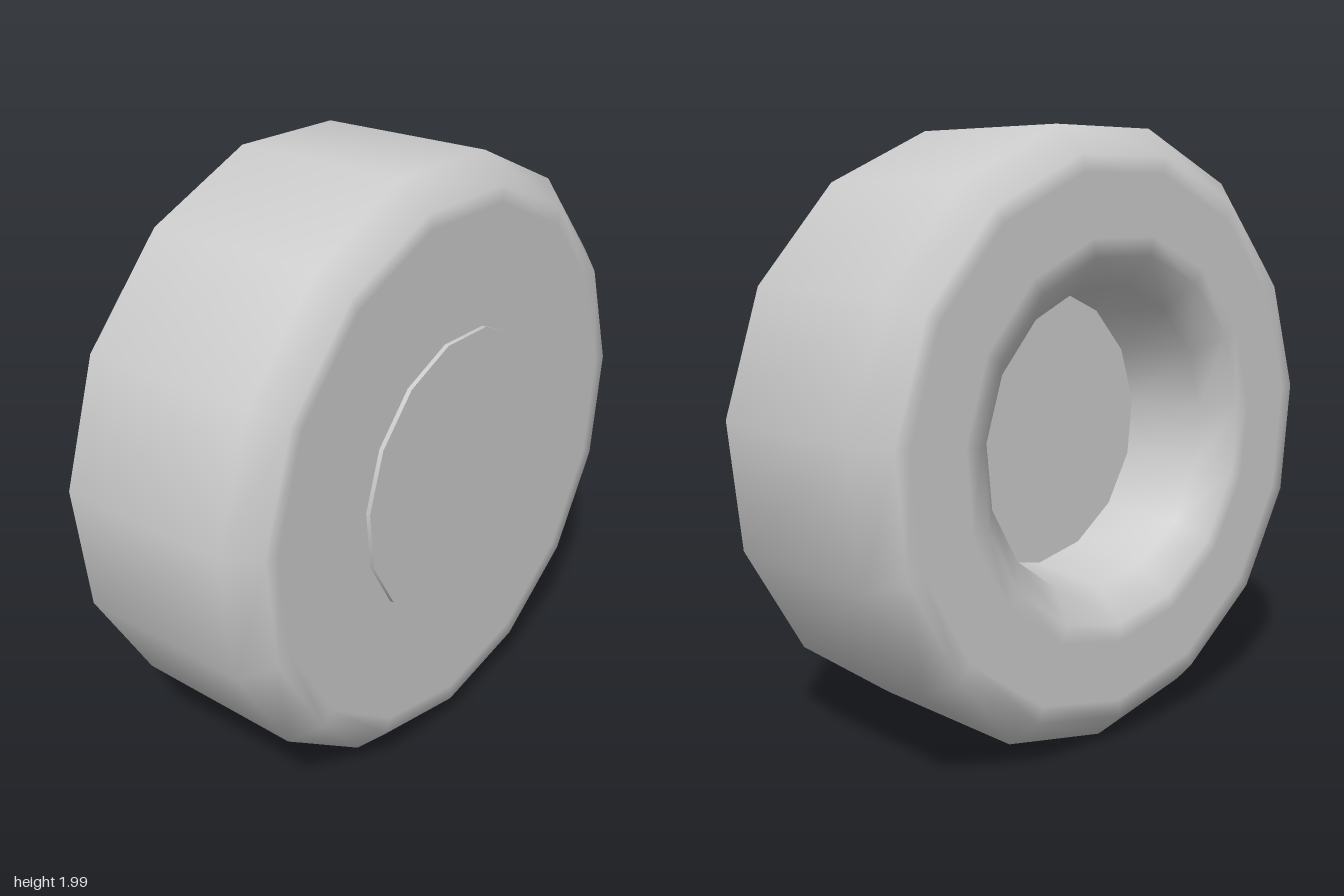
import * as THREE from 'three';

const SIDES = 15;
const CENTRE_Y = 1.0055;

// Revolve a [radius, x] profile around the x axis, with one corner pointing straight down.
function revolve(name, profile, material) {
  const points = profile.map(([r, x]) => new THREE.Vector2(r, x));
  const geometry = new THREE.LatheGeometry(points, SIDES, Math.PI / 2);
  geometry.rotateZ(-Math.PI / 2);
  const mesh = new THREE.Mesh(geometry, material);
  mesh.name = name;
  mesh.position.y = CENTRE_Y;
  return mesh;
}

export function createModel() {
  const group = new THREE.Group();
  group.name = 'wheel';
  const material = new THREE.MeshStandardMaterial({ color: 0xcccccc });

  // Tyre: recessed well, bevelled lip, back face, tread and outer face
  group.add(revolve('tyre', [
    [0.47, -0.03], [0.5, -0.315], [0.6, -0.405],
    [0.66, -0.405], [0.86, -0.405], [0.915, -0.405],
    [1.0055, -0.315], [1.0055, 0.3],
    [0.915, 0.39], [0.86, 0.39], [0.47, 0.39],
  ], material));

  // Flat floor at the bottom of the well
  group.add(revolve('wellFloor', [[0, -0.03], [0.47, -0.03]], material));

  // Thin raised hub cap: sharp rim and flat disc
  group.add(revolve('hubCapRim', [[0.478, 0.385], [0.478, 0.405]], material));
  group.add(revolve('hubCapFace', [[0.478, 0.405], [0, 0.405]], material));

  return group;
}
